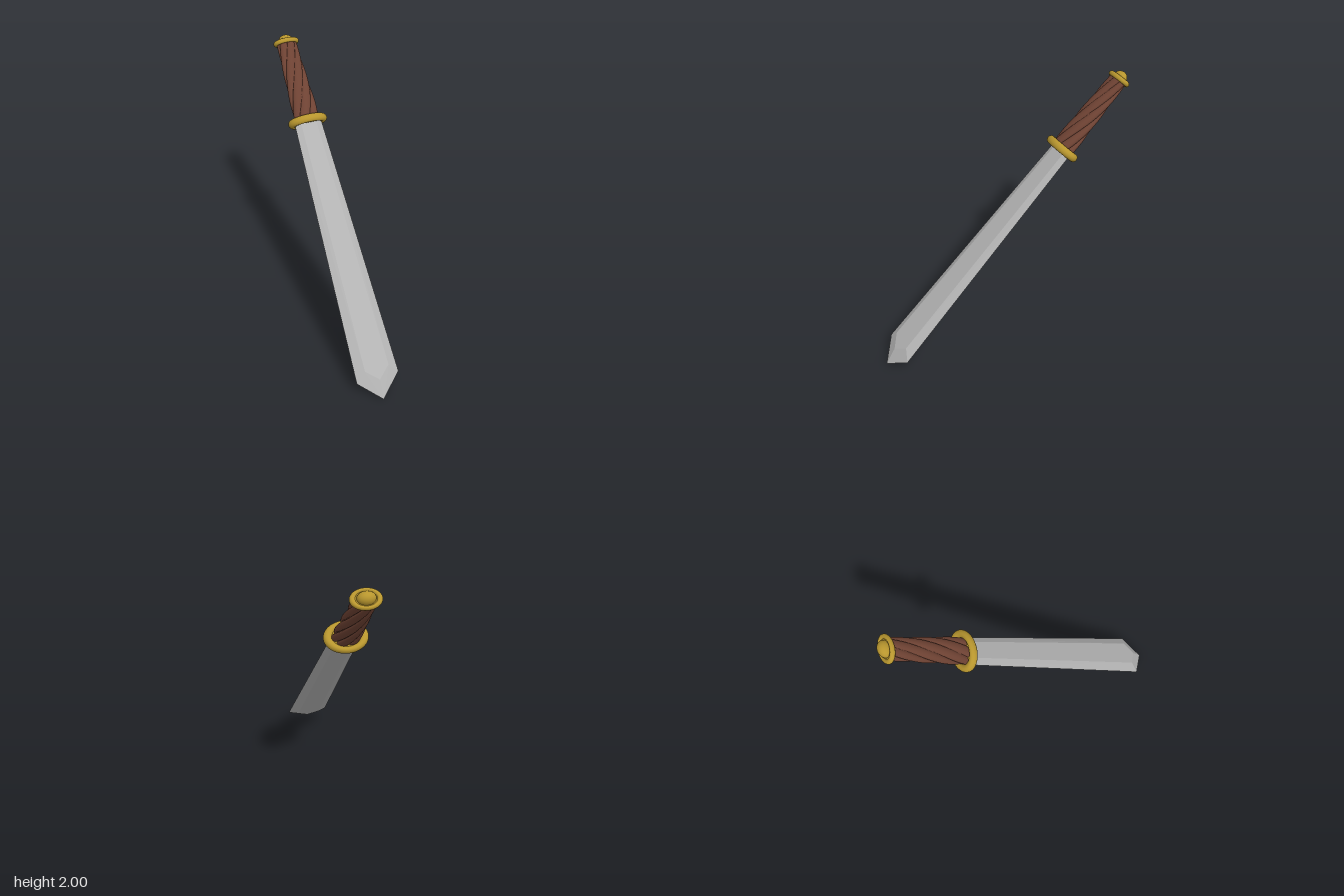
import * as THREE from 'three';
import { ConvexGeometry } from 'three/addons/geometries/ConvexGeometry.js';

const steel = new THREE.MeshStandardMaterial({ name: 'steel', color: 0xb2b2b2 });
const gold = new THREE.MeshStandardMaterial({ name: 'gold', color: 0xb8962e });
const leather = new THREE.MeshStandardMaterial({ name: 'brown leather', color: 0x6e4233 });

function part(name, geometry, material) {
  const mesh = new THREE.Mesh(geometry, material);
  mesh.name = name;
  return mesh;
}

// Blade: bevelled hexagonal section, widest just before the point (tip at the origin, +y to the hilt)
function bladeGeometry() {
  const points = [new THREE.Vector3(0, 0, 0)];
  const height = (y) => 0.038 - 0.009 * y;
  for (const x of [-1, 1]) {
    points.push(new THREE.Vector3(x * 0.165, 0.16, 0), new THREE.Vector3(x * 0.105, 2.115, 0));
    for (const z of [-1, 1]) {
      for (const [u, y] of [[0.093, 0.23], [0.06, 2.115]]) {
        points.push(new THREE.Vector3(x * u, y, z * height(y)));
      }
    }
  }
  for (const z of [-1, 1]) points.push(new THREE.Vector3(0, 0.145, z * height(0.145)));
  return new ConvexGeometry(points);
}

// Grip: six rounded strands twisted half a turn, flattened and tapering upwards
function gripGeometry(length) {
  const geometry = new THREE.CylinderGeometry(1, 1, length, 96, 48, true);
  const pos = geometry.attributes.position;
  for (let i = 0; i < pos.count; i++) {
    const t = pos.getY(i) / length + 0.5;
    const angle = Math.atan2(pos.getX(i), pos.getZ(i));
    const lobe = 0.76 + 0.24 * Math.sqrt(Math.abs(Math.sin(3 * angle)));
    const r = (0.102 - 0.026 * t) * lobe;
    const a = angle + Math.PI * t;
    pos.setXYZ(i, r * Math.sin(a), pos.getY(i), 0.7 * r * Math.cos(a));
  }
  geometry.computeVertexNormals();
  return geometry;
}

// Oval ring with a thinner plate filling it
function ovalRing(name, y, radius, tube, flatten) {
  const group = new THREE.Group();
  group.name = name;
  const ring = new THREE.TorusGeometry(radius, tube, 20, 64).rotateX(Math.PI / 2);
  const plate = new THREE.CylinderGeometry(radius, radius, tube, 64);
  group.add(part(name + 'Ring', ring, gold), part(name + 'Plate', plate, gold));
  group.position.y = y;
  group.scale.z = flatten;
  return group;
}

export function createModel() {
  const model = new THREE.Group();
  model.name = 'sword';
  const sword = new THREE.Group();
  sword.name = 'tiltedSword';
  model.add(sword);

  const guardY = 2.115, pommelY = 2.745;
  sword.add(part('blade', bladeGeometry(), steel));
  sword.add(ovalRing('guard', guardY, 0.121, 0.03, 0.74));

  const grip = part('grip', gripGeometry(pommelY - guardY), leather);
  grip.position.y = (guardY + pommelY) / 2;
  sword.add(grip);

  sword.add(ovalRing('pommel', pommelY, 0.081, 0.018, 0.69));
  const knob = part('pommelKnob', new THREE.SphereGeometry(1, 32, 20), gold);
  knob.scale.set(0.058, 0.05, 0.042);
  knob.position.y = pommelY + 0.01;
  sword.add(knob);

  // Lean back 45 degrees with a slight turn, point at the front on the ground
  const along = new THREE.Vector3(0.06, 0.708, -0.704).normalize();
  const across = new THREE.Vector3(0.704, 0, 0.06).normalize();
  const face = new THREE.Vector3().crossVectors(across, along);
  sword.quaternion.setFromRotationMatrix(new THREE.Matrix4().makeBasis(across, along, face));
  sword.position.set(-0.063, 0.002, 0.996);
  return model;
}
